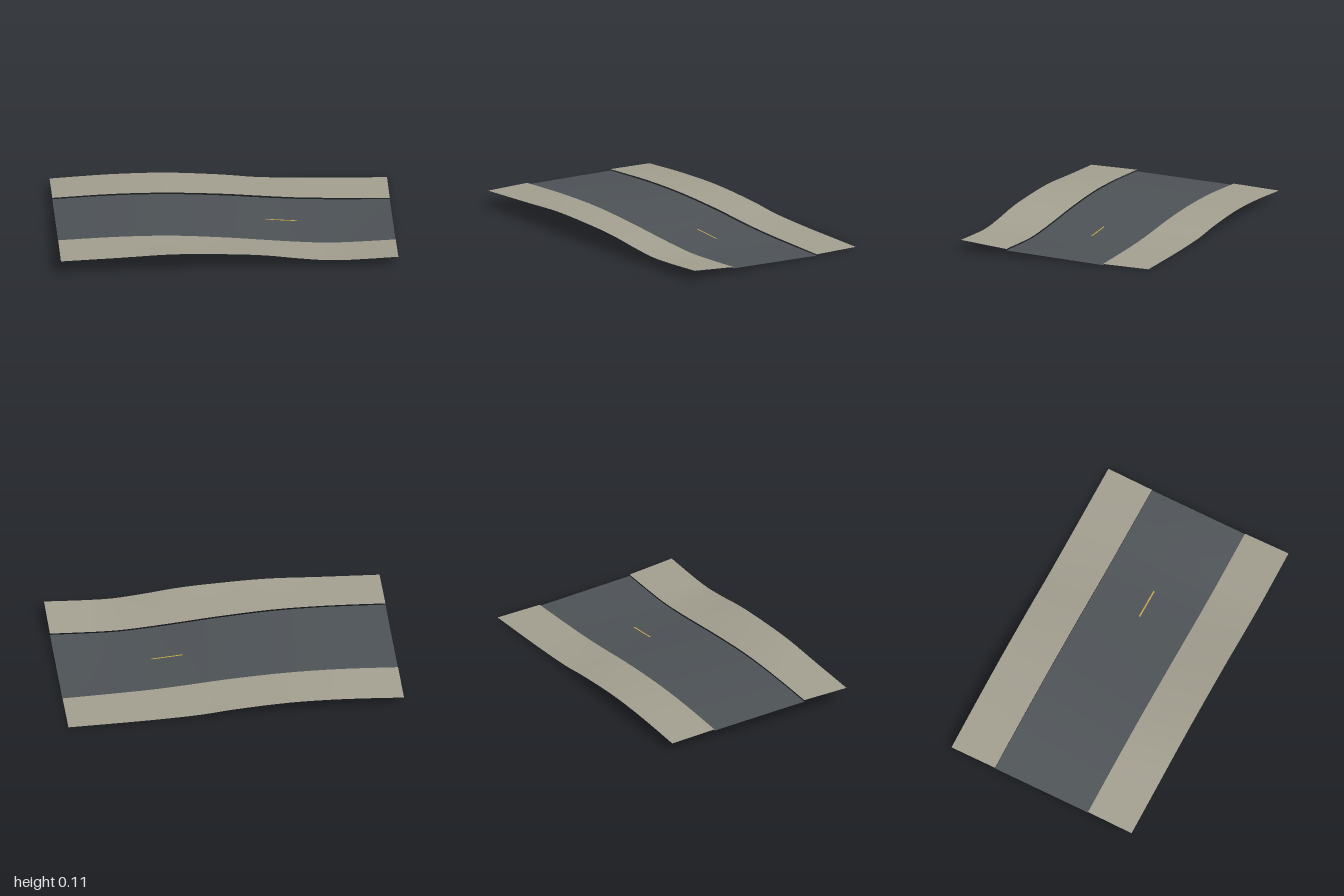
import * as THREE from 'three';

// Heights are listed at these shared stations along the road.
const STATIONS = [-0.924, -0.6, -0.3, 0, 0.2, 0.4, 0.6, 0.924];
const YAW = 0.155;
const ROAD_HALF = 0.287;
const OUTER_HALF = 0.556;

const rail = (heights) =>
  new THREE.SplineCurve(STATIONS.map((s, i) => new THREE.Vector2(s, heights[i])));

const rails = {
  backOuter: rail([0.045, 0.062, 0.064, 0.045, 0.024, 0.014, 0.008, 0.002]),
  backInner: rail([0.060, 0.075, 0.075, 0.060, 0.043, 0.027, 0.018, 0.008]),
  roadBack: rail([0.052, 0.066, 0.066, 0.050, 0.033, 0.018, 0.009, 0.001]),
  roadFront: rail([0.077, 0.090, 0.088, 0.068, 0.049, 0.031, 0.022, 0.032]),
  frontInner: rail([0.086, 0.098, 0.097, 0.077, 0.058, 0.040, 0.030, 0.040]),
  frontOuter: rail([0.090, 0.103, 0.116, 0.108, 0.095, 0.070, 0.055, 0.067]),
};

// Sheet stretched between two rails; t0 and t1 are their offsets across the road.
function ribbon(name, color, railA, t0, railB, t1, u0 = 0, u1 = 1, along = 28, across = 4) {
  const geometry = new THREE.PlaneGeometry(1, 1, along, across);
  const pos = geometry.attributes.position;
  for (let i = 0; i < pos.count; i++) {
    const u = THREE.MathUtils.lerp(u0, u1, pos.getX(i) + 0.5);
    const v = 0.5 - pos.getY(i);
    const a = railA.getPoint(u);
    const b = railB.getPoint(u);
    pos.setXYZ(i, a.x, THREE.MathUtils.lerp(a.y, b.y, v), THREE.MathUtils.lerp(t0, t1, v));
  }
  geometry.computeVertexNormals();
  const material = new THREE.MeshStandardMaterial({ side: THREE.DoubleSide });
  material.color.set(color);
  const mesh = new THREE.Mesh(geometry, material);
  mesh.name = name;
  return mesh;
}

export function createModel() {
  const group = new THREE.Group();
  group.name = 'roadSection';
  const r = rails;
  const strips = new THREE.Group();
  strips.name = 'strips';
  strips.rotation.y = YAW;

  // Asphalt carriageway
  strips.add(ribbon('roadSurface', 0x4d5256, r.roadBack, -ROAD_HALF, r.roadFront, ROAD_HALF));

  // Raised gravel shoulders on both sides
  const gravel = 0xa29e8f;
  strips.add(ribbon('backShoulder', gravel, r.backOuter, -OUTER_HALF, r.backInner, -ROAD_HALF));
  strips.add(ribbon('frontShoulder', gravel, r.frontInner, ROAD_HALF, r.frontOuter, OUTER_HALF));

  // Single centre line dash, just above the asphalt
  const middle = rail(STATIONS.map((s, i) =>
    (r.roadBack.points[i].y + r.roadFront.points[i].y) / 2 + 0.002));
  strips.add(ribbon('centreDash', 0xc9a84a, middle, -0.004, middle, 0.004, 4.14 / 7, 5 / 7, 6, 1));

  group.add(strips);
  return group;
}
